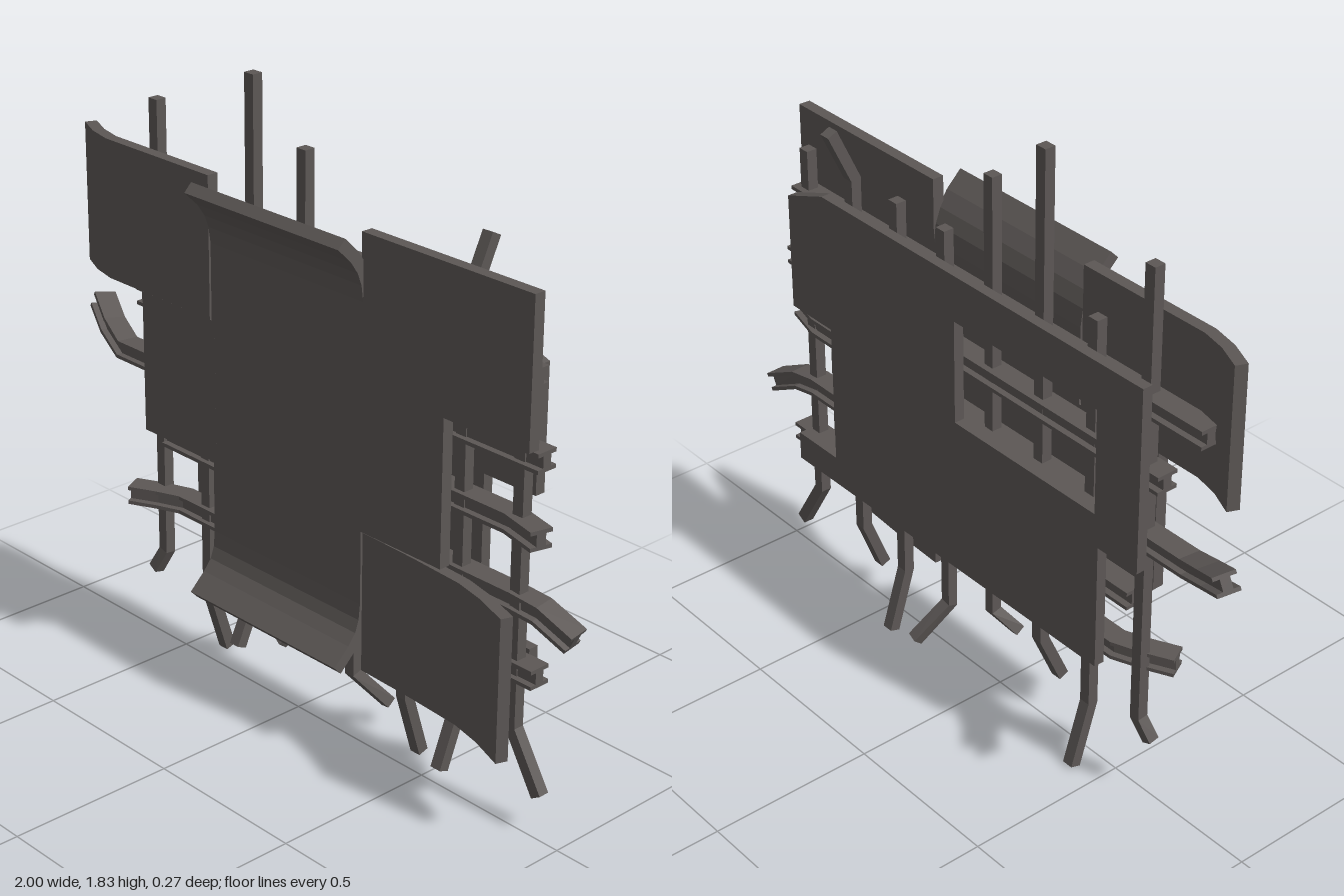
import * as THREE from 'three';

const steel = new THREE.MeshStandardMaterial({ color: 0x5c5755 });
steel.name = 'darkSteel';

const rect = (w, h) => [[-w / 2, -h / 2], [w / 2, -h / 2], [w / 2, h / 2], [-w / 2, h / 2]];
const toShape = (pts) => new THREE.Shape(pts.map(([x, y]) => new THREE.Vector2(x, y)));

// Carries a section along a bent path; ref is the direction of the section's first axis.
function sweep(section, path, ref) {
  const p = path.map((a) => new THREE.Vector3(...a));
  const n = p.length - 1;
  const frames = p.map((point, k) => {
    const before = p[k].clone().sub(p[Math.max(k - 1, 0)]).normalize();
    const after = p[Math.min(k + 1, n)].clone().sub(p[k]).normalize();
    const t = before.add(after).normalize();
    const u = ref.clone().addScaledVector(t, -ref.dot(t)).normalize();
    return { point, u, v: t.clone().cross(u) };
  });
  const g = new THREE.ExtrudeGeometry(toShape(section), { depth: n, steps: n, bevelEnabled: false });
  const pos = g.attributes.position;
  for (let i = 0; i < pos.count; i++) {
    const f = frames[Math.round(pos.getZ(i))];
    const q = f.point.clone().addScaledVector(f.u, pos.getX(i)).addScaledVector(f.v, pos.getY(i));
    pos.setXYZ(i, q.x, q.y, q.z);
  }
  g.computeVertexNormals();
  return g;
}

export function createModel() {
  const model = new THREE.Group();
  model.name = 'damagedWallPanel';
  const X = new THREE.Vector3(1, 0, 0);
  const BACK = new THREE.Vector3(0, 0, -1);
  const add = (name, geometry) => {
    const mesh = new THREE.Mesh(geometry, steel);
    mesh.name = name;
    model.add(mesh);
  };

  // Front plates, swept sideways: y range, then [x, z] along the width
  const T = 0.035, Z = 0.023;
  const plate = (name, y0, y1, line) =>
    add(name, sweep(rect(T, y1 - y0), line.map(([x, z]) => [x, (y0 + y1) / 2, z]), BACK));
  plate('upperLeftPlate', 1.11, 1.53, [[0.285, Z], [0.885, Z]]);
  plate('upperRightPlate', 1.11, 1.53, [[-0.92, -0.03], [-0.84, 0.005], [-0.76, Z], [-0.32, Z]]);
  plate('middleLeftPlate', 0.68, 1.11, [[0.29, Z], [0.59, Z]]);
  plate('middleRightPlate', 0.68, 1.11, [[-0.615, Z], [-0.3, Z]]);
  plate('lowerLeftPlate', 0.26, 0.68, [[0.3, Z], [0.5, 0.03], [0.68, 0.042], [0.78, 0.065], [0.89, 0.105]]);

  // Centre plate with both ends curling forward
  const curl = [[0.285, 0.122], [0.335, 0.07], [0.37, 0.042], [0.41, 0.028], [0.46, Z],
    [1.34, Z], [1.39, 0.03], [1.43, 0.045], [1.47, 0.072], [1.515, 0.118]];
  add('centrePlate', sweep(rect(0.604, T), curl.map(([y, z]) => [-0.01, y, z]), X));

  // Back plate with broken corners and a window
  const back = toShape([[-0.505, 0.41], [0.82, 0.41], [0.82, 0.5], [0.64, 0.5], [0.64, 0.94], [0.82, 0.94],
    [0.82, 1.3], [0.66, 1.36], [-0.655, 1.36], [-0.655, 0.8], [-0.505, 0.8]]);
  back.holes.push(new THREE.Path([[-0.49, 0.9], [-0.49, 1.22], [0.08, 1.22], [0.08, 0.9]]
    .map(([x, y]) => new THREE.Vector2(x, y))));
  const backGeometry = new THREE.ExtrudeGeometry(back, { depth: 0.032, bevelEnabled: false });
  add('backPlate', backGeometry.translate(0, 0, -0.094));

  // Horizontal I-beams
  const a = 0.033, w = 0.014, h = 0.028, f = 0.017;
  const iBeam = [[-a, -h], [a, -h], [a, -f], [w, -f], [w, f], [a, f], [a, h], [-a, h], [-a, f], [-w, f], [-w, -f], [-a, -f]];
  const C = -0.027;
  [
    [[-0.83, 1.28, C], [0.85, 1.28, C]],
    [[-0.685, 1.07, C], [0.885, 1.07, C]],
    [[-0.975, 0.95, -0.095], [-0.88, 0.905, -0.055], [-0.78, 0.87, C], [0.78, 0.87, C], [0.905, 0.87, 0.005]],
    [[-0.585, 0.655, C], [0.8, 0.655, C], [0.88, 0.645, -0.035], [0.985, 0.595, -0.05]],
    [[-0.68, 0.46, 0.045], [-0.6, 0.46, 0.005], [-0.52, 0.46, C], [0.89, 0.46, C]],
  ].forEach((path) => add('crossBeam', sweep(iBeam, path, BACK)));

  // Upright rods: x, top end, bottom bend height, bottom end
  const R = -0.025;
  [
    [-0.61, [[-0.61, 1.67, R]], 0.27, [-0.645, 0.2, -0.01]],
    [-0.41, [[-0.41, 1.43, R]], 0.2, [-0.41, 0.005, -0.085]],
    [-0.205, [[-0.205, 1.83, R]], 0.3, [-0.205, 0.135, 0.05]],
    [0, [[0, 1.67, R]], 0.28, [-0.045, 0.205, 0.03]],
    [0.2, [[0.2, 1.43, R]], 0.19, [0.245, 0.075, -0.12]],
    [0.405, [[0.405, 1.43, R]], 0.2, [0.405, 0.005, -0.085]],
    [0.605, [[0.605, 1.42, R], [0.605, 1.58, -0.1]], 0.25, [0.605, 0.085, 0.04]],
    [0.81, [[0.81, 1.43, R]], 0.28, [0.91, 0.115, R]],
  ].forEach(([x, top, bend, end]) =>
    add('uprightRod', sweep(rect(0.035, 0.033), [end, [x, bend, R], ...top], X)));

  return model;
}
